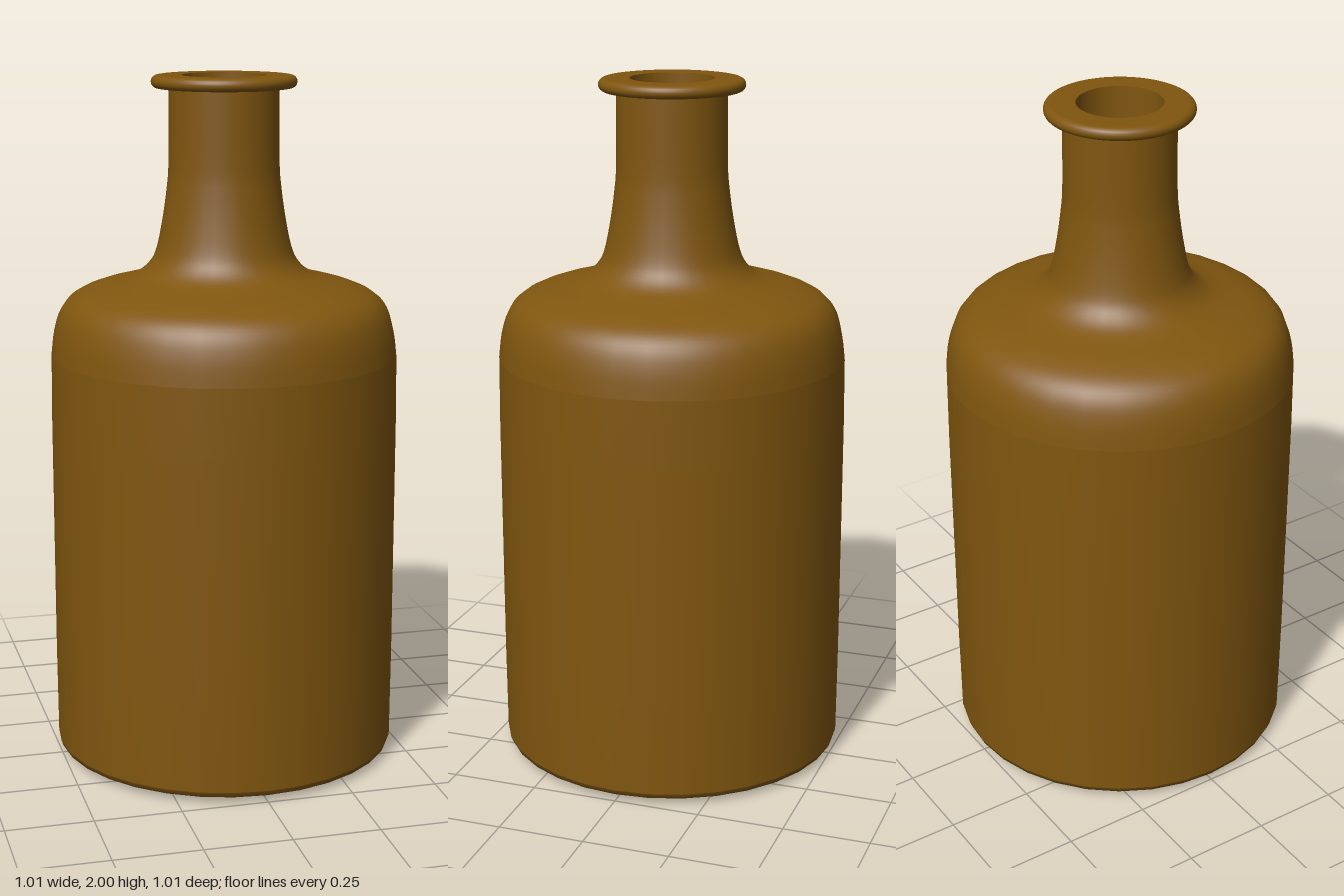
import * as THREE from 'three';

const glass = new THREE.MeshStandardMaterial({ color: 0x80560f });

const toPoints = (pairs) => pairs.map(([r, y]) => new THREE.Vector2(r, y));
const smooth = (pairs, n) => new THREE.SplineCurve(toPoints(pairs)).getPoints(n);

function addLathe(group, name, points, sides) {
  const mesh = new THREE.Mesh(new THREE.LatheGeometry(points, sides), glass);
  mesh.name = name;
  group.add(mesh);
}

export function createModel() {
  const group = new THREE.Group();
  group.name = 'bottle';

  // flat base, rounded into the wall
  addLathe(group, 'base', toPoints([
    [0, 0], [0.3, 0.004], [0.44, 0.008], [0.48, 0.012], [0.497, 0.02], [0.503, 0.035],
  ]), 32);

  // straight wall
  addLathe(group, 'wall', toPoints([[0.503, 0.035], [0.505, 0.3], [0.505, 1], [0.503, 1.2]]), 32);

  // shoulder curving in and up to the neck
  addLathe(group, 'shoulderAndNeck', smooth([
    [0.503, 1.2], [0.494, 1.27], [0.475, 1.33], [0.44, 1.37], [0.38, 1.397], [0.3, 1.418],
    [0.25, 1.437], [0.215, 1.468], [0.195, 1.51], [0.178, 1.59], [0.165, 1.68],
    [0.159, 1.76], [0.157, 1.97],
  ], 48), 32);

  // rounded lip with a flat top ring
  const lipEdge = [];
  for (let i = 0; i <= 10; i++) {
    const a = -Math.PI / 2 + (i / 10) * Math.PI;
    lipEdge.push([0.19 + 0.018 * Math.cos(a), 1.982 + 0.018 * Math.sin(a)]);
  }
  addLathe(group, 'lip', toPoints([[0.15, 1.964], ...lipEdge]), 96);
  addLathe(group, 'lipTop', toPoints([[0.19, 2], [0.12, 2]]), 96);

  // bore and hollow inside, following the outer form
  addLathe(group, 'bore', toPoints([[0.12, 2], [0.12, 1.7]]), 96);
  addLathe(group, 'hollow', smooth([
    [0.12, 1.7], [0.15, 1.52], [0.2, 1.42], [0.36, 1.36], [0.44, 1.3], [0.465, 1.18],
  ], 24), 32);
  addLathe(group, 'innerWall', toPoints([[0.465, 1.18], [0.465, 0.05]]), 32);
  addLathe(group, 'innerFloor', toPoints([[0.465, 0.05], [0, 0.05]]), 32);

  return group;
}
